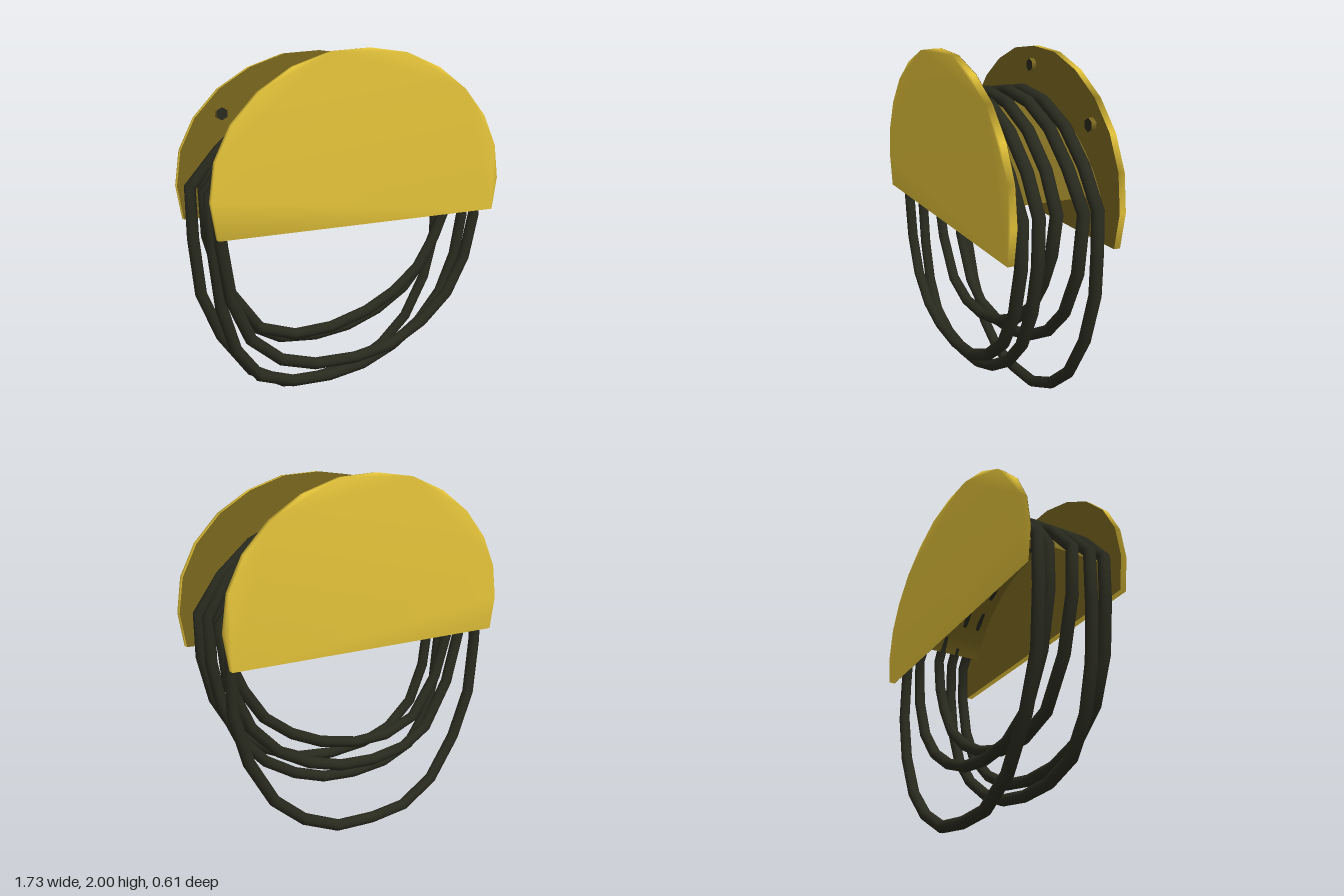
import * as THREE from 'three';
import { mergeVertices } from 'three/addons/utils/BufferGeometryUtils.js';

const gold = new THREE.MeshStandardMaterial({ color: 0xe5c43a });
gold.name = 'yellow paint';
const darkGold = new THREE.MeshStandardMaterial({ color: 0x79671f, side: THREE.DoubleSide });
darkGold.name = 'dark yellow paint';
const rubber = new THREE.MeshStandardMaterial({ color: 0x292a1e });
rubber.name = 'dark rubber';

// Right half of the end plate outline, bottom to top
const PLATE = [[0.835, 1.095], [0.864, 1.28], [0.836, 1.47], [0.75, 1.64], [0.61, 1.79], [0.43, 1.905], [0.22, 1.98]];
const DRUM_Y = 0.925, DRUM_R = 0.81, DRUM_HALF_ANGLE = Math.PI / 3;
const HOSE_R = 0.0325;

// Each loop: depth, widest x on both sides, hanging points from -x to +x
const LOOPS = [
  { z: 0.205, left: -0.805, right: 0.783, sag: [[-0.79, 1.04], [-0.75, 0.76], [-0.65, 0.53], [-0.48, 0.385], [-0.28, 0.32], [-0.03, 0.305], [0.2, 0.335], [0.42, 0.44], [0.6, 0.59], [0.72, 0.8], [0.78, 1.05]] },
  { z: 0.11, left: -0.81, right: 0.768, sag: [[-0.8, 0.98], [-0.77, 0.69], [-0.7, 0.45], [-0.57, 0.275], [-0.37, 0.2], [-0.14, 0.185], [0.08, 0.21], [0.28, 0.285], [0.47, 0.405], [0.62, 0.57], [0.72, 0.79], [0.768, 1.04]] },
  { z: 0.01, left: -0.803, right: 0.758, sag: [[-0.78, 1.02], [-0.69, 0.74], [-0.52, 0.505], [-0.31, 0.43], [-0.08, 0.432], [0.16, 0.49], [0.35, 0.58], [0.52, 0.71], [0.64, 0.89], [0.72, 1.07]] },
  { z: -0.11, left: -0.768, right: 0.802, sag: [[-0.76, 1.03], [-0.68, 0.74], [-0.52, 0.475], [-0.35, 0.38], [-0.12, 0.352], [0.1, 0.372], [0.31, 0.44], [0.5, 0.55], [0.66, 0.72], [0.77, 0.97]] },
  { z: -0.2, left: -0.814, right: 0.784, sag: [[-0.81, 1.0], [-0.78, 0.68], [-0.67, 0.41], [-0.5, 0.17], [-0.29, 0.05], [-0.06, 0.034], [0.18, 0.055], [0.4, 0.16], [0.58, 0.32], [0.72, 0.57], [0.795, 0.85], [0.795, 1.08]] },
];

function add(group, name, geometry, material) {
  const mesh = new THREE.Mesh(geometry, material);
  mesh.name = name;
  group.add(mesh);
  return mesh;
}

// Plate with softly shaded rim
function plateGeometry(shape) {
  const geometry = new THREE.ExtrudeGeometry(shape, { depth: 0.033, bevelEnabled: false });
  geometry.deleteAttribute('normal');
  geometry.deleteAttribute('uv');
  const smooth = mergeVertices(geometry);
  smooth.computeVertexNormals();
  return smooth;
}

// Points on an arch over the drum, from +x over the top to -x
function arch(radius, halfAngle, steps) {
  return Array.from({ length: steps + 1 }, (_, i) => {
    const a = halfAngle * (1 - 2 * i / steps);
    return [radius * Math.sin(a), DRUM_Y + radius * Math.cos(a)];
  });
}

// Closed tube whose rings sit exactly on the given points
function loopGeometry({ z, left, right, sag }) {
  const path = [[left, 1.28], ...sag, [right, 1.28], ...arch(0.845, 0.87, 6)];
  const curve = new THREE.CatmullRomCurve3(path.map(([x, y]) => new THREE.Vector3(x, y, z)), true);
  curve.getPointAt = curve.getPoint;
  curve.getTangentAt = curve.getTangent;
  return new THREE.TubeGeometry(curve, path.length, HOSE_R, 10, true);
}

export function createModel() {
  const model = new THREE.Group();
  model.name = 'hoseHanger';

  // End plates: bright outside and rim, dark lining on the inner faces
  const outline = [...PLATE, [0, 2], ...PLATE.map(([x, y]) => [-x, y]).reverse()];
  const shape = new THREE.Shape(outline.map(([x, y]) => new THREE.Vector2(x, y)));
  add(model, 'frontPlate', plateGeometry(shape), gold).position.z = 0.27;
  add(model, 'backPlate', plateGeometry(shape), gold).position.z = -0.303;
  const frontLining = add(model, 'frontPlateLining', new THREE.ShapeGeometry(shape), darkGold);
  frontLining.rotation.y = Math.PI;
  frontLining.position.z = 0.268;
  add(model, 'backPlateLining', new THREE.ShapeGeometry(shape), darkGold).position.z = -0.268;

  // Arched saddle that carries the hose
  const saddle = new THREE.CylinderGeometry(DRUM_R, DRUM_R, 0.54, 14, 1, true, -DRUM_HALF_ANGLE, 2 * DRUM_HALF_ANGLE);
  add(model, 'saddle', saddle.rotateX(-Math.PI / 2).translate(0, DRUM_Y, 0), darkGold);

  // Hose loops
  const hose = new THREE.Group();
  hose.name = 'hose';
  model.add(hose);
  LOOPS.forEach((loop, i) => add(hose, `hoseLoop${i + 1}`, loopGeometry(loop), rubber));

  // Hexagonal wall bolts on the inside of the back plate, with dark heads
  for (const [x, y] of [[-0.605, 1.66], [0, 1.9], [0.605, 1.66]]) {
    const bolt = add(model, 'wallBolt', new THREE.CylinderGeometry(0.035, 0.035, 0.03, 6), [darkGold, rubber, rubber]);
    bolt.rotation.x = Math.PI / 2;
    bolt.position.set(x, y, -0.256);
  }
  return model;
}
